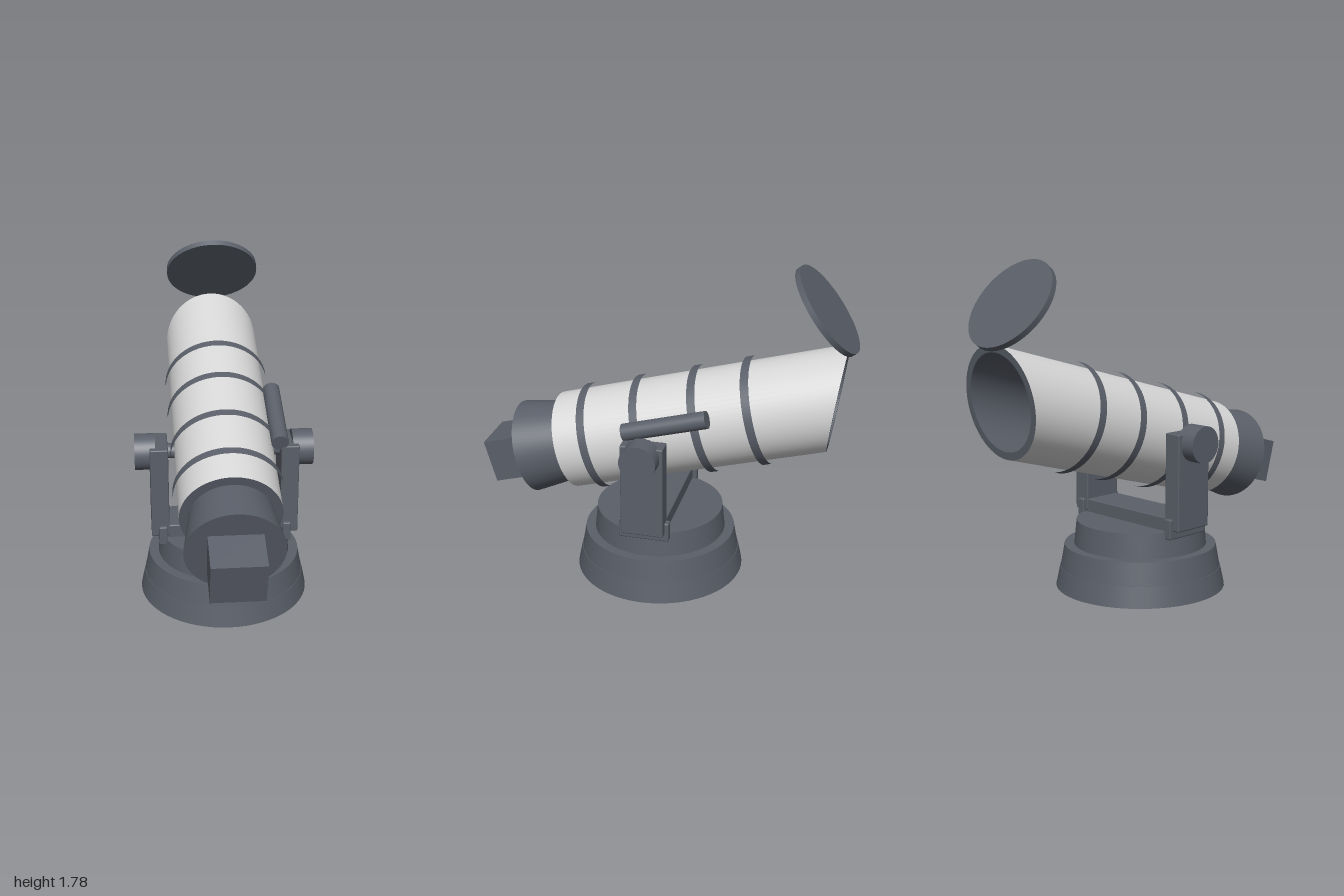
import * as THREE from 'three';
import { RoundedBoxGeometry } from 'three/addons/geometries/RoundedBoxGeometry.js';

export function createModel() {
  const model = new THREE.Group();
  model.name = 'telescope';
  const dark = new THREE.MeshStandardMaterial({ color: 0x5a5f69 });
  dark.name = 'slate grey';
  const light = new THREE.MeshStandardMaterial({ color: 0xd8d8d8 });
  light.name = 'pale grey';

  const add = (parent, name, geometry, material, x = 0, y = 0, z = 0) => {
    const mesh = new THREE.Mesh(geometry, material);
    mesh.name = name;
    mesh.position.set(x, y, z);
    parent.add(mesh);
    return mesh;
  };
  const rod = (rTop, rBottom, h, open = false) =>
    new THREE.CylinderGeometry(rTop, rBottom, h, 64, 1, open);
  const block = (w, h, d) => new RoundedBoxGeometry(w, h, d, 2, 0.007);
  // Surface swept round the y axis between two profile points
  const band = (r1, y1, r2, y2) =>
    new THREE.LatheGeometry([new THREE.Vector2(r1, y1), new THREE.Vector2(r2, y2)], 64);
  // Shear the far end (y above 1) to the oblique mouth plane
  const slant = (geometry) => {
    const p = geometry.attributes.position;
    for (let i = 0; i < p.count; i++) {
      if (p.getY(i) > 1) p.setY(i, p.getY(i) + 0.427 * p.getZ(i));
    }
    return geometry;
  };

  // Stand, centred slightly forward
  const stand = new THREE.Group();
  stand.name = 'stand';
  stand.position.z = 0.03;
  model.add(stand);
  add(stand, 'baseSkirt', rod(0.437, 0.46, 0.11), dark, 0, 0.055, 0);
  add(stand, 'baseUpper', rod(0.412, 0.434, 0.122), dark, 0, 0.171, 0);
  add(stand, 'turntable', rod(0.346, 0.36, 0.135), dark, 0, 0.2975, 0);
  add(stand, 'crossBar', block(0.7, 0.08, 0.22), dark, 0, 0.397, 0);

  // Fork arms with brackets and pivot knobs
  for (const side of [-1, 1]) {
    add(stand, 'armBracket', block(0.045, 0.108, 0.272), dark, side * 0.335, 0.384, 0);
    add(stand, 'forkArm', block(0.097, 0.512, 0.228), dark, side * 0.348, 0.63, 0);
    add(stand, 'pivotKnob', rod(0.097, 0.097, 0.11), dark, side * 0.421, 0.831, 0).rotation.z = Math.PI / 2;
    add(stand, 'pivotAxle', rod(0.04, 0.04, 0.07), dark, side * 0.28, 0.831, 0).rotation.z = Math.PI / 2;
  }

  // Tilted optics: local y runs along the barrel, local z points to its top
  const optics = new THREE.Group();
  optics.name = 'optics';
  const tilt = THREE.MathUtils.degToRad(-74.4);
  optics.rotation.x = tilt;
  optics.position.set(0, 0.695, 0.53);
  model.add(optics);

  const R = 0.264, inner = 0.228, mouth = 1.498;
  add(optics, 'barrel', slant(band(R, 0, R, mouth)), light);
  const rim = slant(band(R, mouth, inner, mouth));
  rim.computeVertexNormals();
  add(optics, 'mouthRim', rim, dark);
  add(optics, 'barrelLining', slant(band(inner, mouth, inner, 0.05)), dark);
  add(optics, 'mirror', band(inner, 0.05, 0, 0.05), dark);
  add(optics, 'rearRim', band(0.1, 0, R, 0), dark);

  // Clamp bands around the barrel
  for (const s of [0.175, 0.475, 0.795, 1.082]) {
    add(optics, 'clampBand', rod(0.287, 0.287, 0.045, true), dark, 0, s, 0);
  }

  // Rear cell and eyepiece box
  add(optics, 'rearCell', rod(0.217, 0.254, 0.245), dark, 0, -0.1225, -0.003);
  add(optics, 'eyepieceBox', new THREE.BoxGeometry(0.275, 0.225, 0.24), dark, 0, -0.345, -0.008);

  // Finder scope on the left of the barrel
  const finder = add(model, 'finderScope', rod(0.046, 0.046, 0.458), dark, 0.29, 0.973, -0.068);
  finder.rotation.x = tilt;

  // Open dust lid above the mouth
  const lid = add(model, 'dustLid', rod(0.257, 0.257, 0.03), dark, 0, 1.564, -0.832);
  lid.rotation.x = THREE.MathUtils.degToRad(-52.3);

  return model;
}
